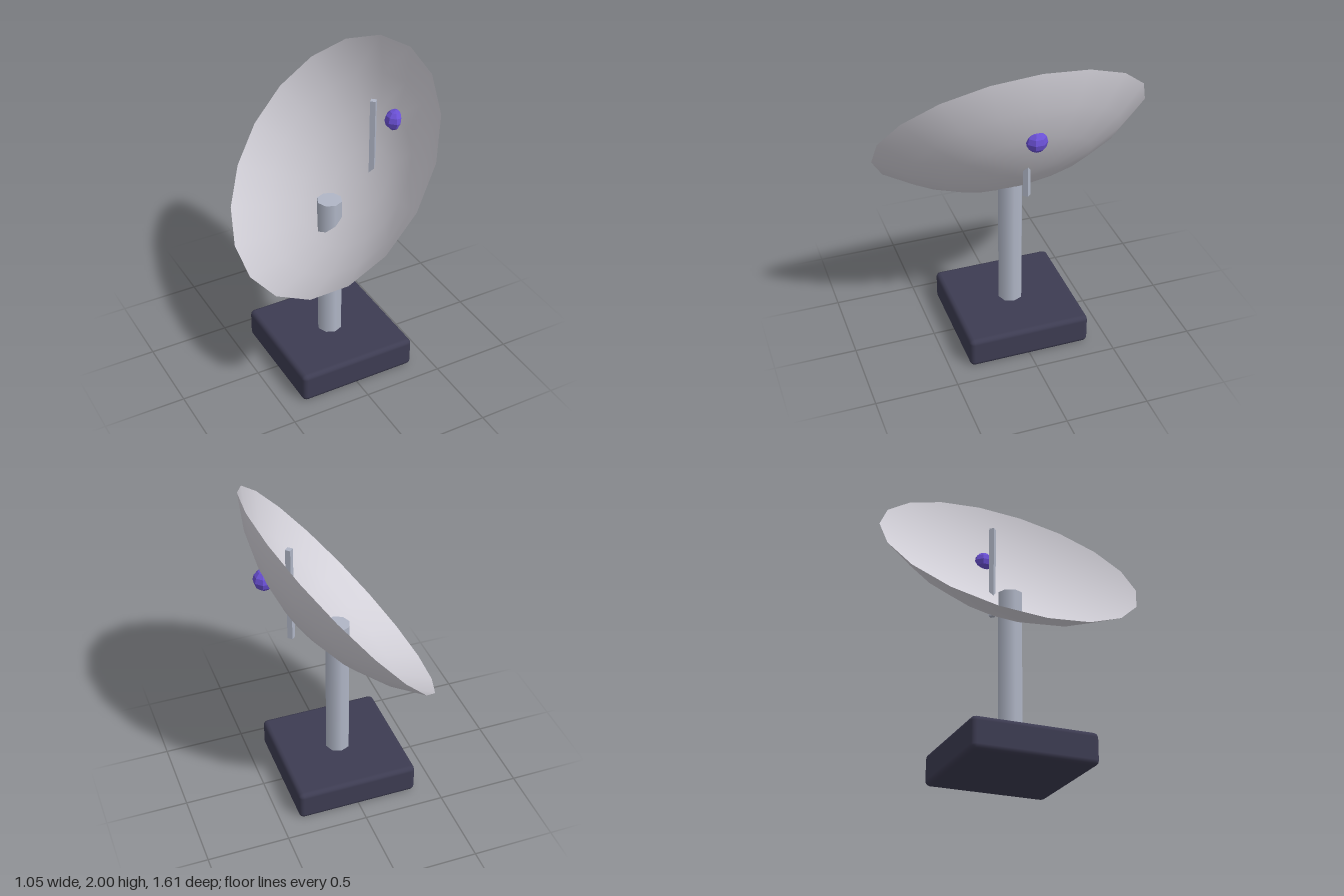
import * as THREE from 'three';
import { RoundedBoxGeometry } from 'three/addons/geometries/RoundedBoxGeometry.js';

const mat = (name, color, extra = {}) => {
  const m = new THREE.MeshStandardMaterial({ color, ...extra });
  m.name = name;
  return m;
};

// Split vertices so every facet gets its own normal
const faceted = (geometry) => {
  const g = geometry.toNonIndexed();
  g.computeVertexNormals();
  return g;
};

export function createModel() {
  const model = new THREE.Group();
  model.name = 'dishAntenna';

  const darkBase = mat('dark slate', 0x3d3c52);
  const metal = mat('blue grey metal', 0xb0b6c6);
  const dishGrey = mat('pale grey', 0xd2d0d8, { side: THREE.DoubleSide });
  const purple = mat('purple', 0x6a50d4);

  const add = (name, geometry, material, x, y, z = 0) => {
    const mesh = new THREE.Mesh(geometry, material);
    mesh.name = name;
    mesh.position.set(x, y, z);
    model.add(mesh);
    return mesh;
  };

  // Square foot with rounded edges
  add('base', new RoundedBoxGeometry(0.755, 0.19, 0.755, 2, 0.03), darkBase, 0.005, 0.095);

  // Column, its top poking through the dish
  add('column', new THREE.CylinderGeometry(0.076, 0.076, 0.96, 8), metal, 0.005, 0.65);

  // Shallow spherical cap, open side tilted 50 degrees towards -x
  const capAngle = 0.7, rimRadius = 0.816, tilt = THREE.MathUtils.degToRad(50);
  const radius = rimRadius / Math.sin(capAngle);
  const toRim = radius * Math.cos(capAngle);
  const dish = add('dish',
    new THREE.SphereGeometry(radius, 18, 4, 0, Math.PI * 2, Math.PI - capAngle, capAngle),
    dishGrey, -Math.sin(tilt) * toRim, 1.375 + Math.cos(tilt) * toRim);
  dish.rotation.z = tilt;

  // Thin four-sided rod through the dish
  add('feedRod', faceted(new THREE.CylinderGeometry(0.023, 0.023, 0.61, 4)), metal, 0.29, 1.412);

  // Faceted receiver ball
  const ball = add('receiver', faceted(new THREE.SphereGeometry(0.064, 8, 6)), purple, 0.44, 1.55);
  ball.rotation.y = Math.PI / 8;

  return model;
}
